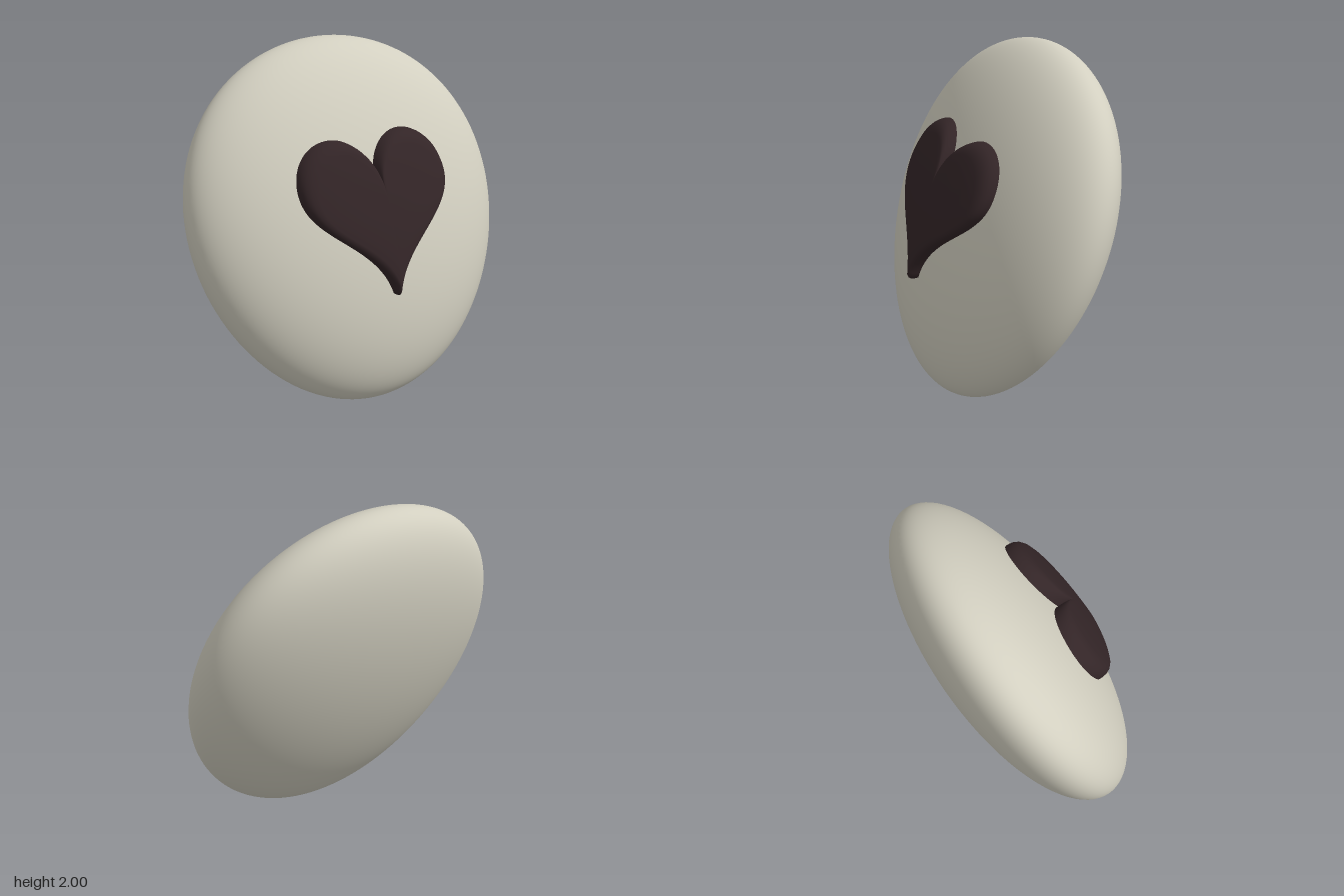
import * as THREE from 'three';
import { mergeVertices } from 'three/addons/utils/BufferGeometryUtils.js';

const WIDTH = 0.982, TAPER = 0.08, SKEW = 0.02, LEAN = -0.32, TURN = 0.06, DEPTH = 0.419;

// Maps a unit-sphere point to the leaning, slightly egg-shaped pebble.
function pebblePoint(a, b, c) {
  return [WIDTH * a * (1 + TAPER * b) + SKEW * b, 1 + b, LEAN * b + TURN * a + DEPTH * c];
}

// Depth of the pebble's front face at a given x, y.
function frontZ(x, y) {
  const b = y - 1;
  const a = (x - SKEW * b) / (WIDTH * (1 + TAPER * b));
  return LEAN * b + TURN * a + DEPTH * Math.sqrt(Math.max(0, 1 - a * a - b * b));
}

function pebbleGeometry() {
  let geo = new THREE.SphereGeometry(1, 96, 64);
  geo.deleteAttribute('uv');
  geo.deleteAttribute('normal');
  geo = mergeVertices(geo, 1e-4);
  const p = geo.attributes.position;
  for (let i = 0; i < p.count; i++) {
    p.setXYZ(i, ...pebblePoint(p.getX(i), p.getY(i), p.getZ(i)));
  }
  geo.computeVertexNormals();
  return geo;
}

// Heart outline, counter-clockwise from the tip.
function heartOutline() {
  const s = new THREE.Shape();
  s.moveTo(-0.045, 0.72);
  s.bezierCurveTo(0.03, 1.02, 0.435, 1.1, 0.435, 1.32);
  s.bezierCurveTo(0.435, 1.46, 0.33, 1.555, 0.2, 1.555);
  s.bezierCurveTo(0.08, 1.555, -0.02, 1.46, -0.03, 1.34);
  s.bezierCurveTo(-0.04, 1.46, -0.12, 1.555, -0.24, 1.555);
  s.bezierCurveTo(-0.375, 1.555, -0.485, 1.45, -0.485, 1.31);
  s.bezierCurveTo(-0.485, 1.08, -0.12, 1.02, -0.045, 0.72);
  const pts = s.getPoints(24);
  pts.pop();
  return pts;
}

// Raised heart: shrinking rings that follow the pebble's face, with a rounded rim.
function heartGeometry() {
  const outline = heartOutline(), n = outline.length;
  const cx = -0.03, cy = 1.17;
  const rings = [[1, -0.02], [1, 0.02], [0.99, 0.045], [0.965, 0.064], [0.92, 0.077],
    [0.85, 0.083], [0.65, 0.085], [0.45, 0.085], [0.25, 0.085]];
  const pos = [], idx = [];
  for (const [scale, height] of rings) {
    for (const p of outline) {
      const x = cx + (p.x - cx) * scale, y = cy + (p.y - cy) * scale;
      pos.push(x, y, frontZ(x, y) + height);
    }
  }
  const centre = pos.length / 3;
  pos.push(cx, cy, frontZ(cx, cy) + 0.085);
  for (let r = 0; r < rings.length; r++) {
    for (let i = 0; i < n; i++) {
      const j = (i + 1) % n, o = r * n, q = o + n;
      if (r === rings.length - 1) idx.push(o + i, o + j, centre);
      else idx.push(o + i, o + j, q + j, o + i, q + j, q + i);
    }
  }
  const geo = new THREE.BufferGeometry();
  geo.setAttribute('position', new THREE.Float32BufferAttribute(pos, 3));
  geo.setIndex(idx);
  geo.computeVertexNormals();
  return geo;
}

export function createModel() {
  const stone = new THREE.MeshStandardMaterial({ color: 0xd2cfc0 });
  stone.name = 'paleStone';
  const dark = new THREE.MeshStandardMaterial({ color: 0x332527 });
  dark.name = 'darkBrown';

  const group = new THREE.Group();
  group.name = 'heartPebble';
  const body = new THREE.Mesh(pebbleGeometry(), stone);
  body.name = 'pebble';
  const heart = new THREE.Mesh(heartGeometry(), dark);
  heart.name = 'heart';
  group.add(body, heart);
  return group;
}
